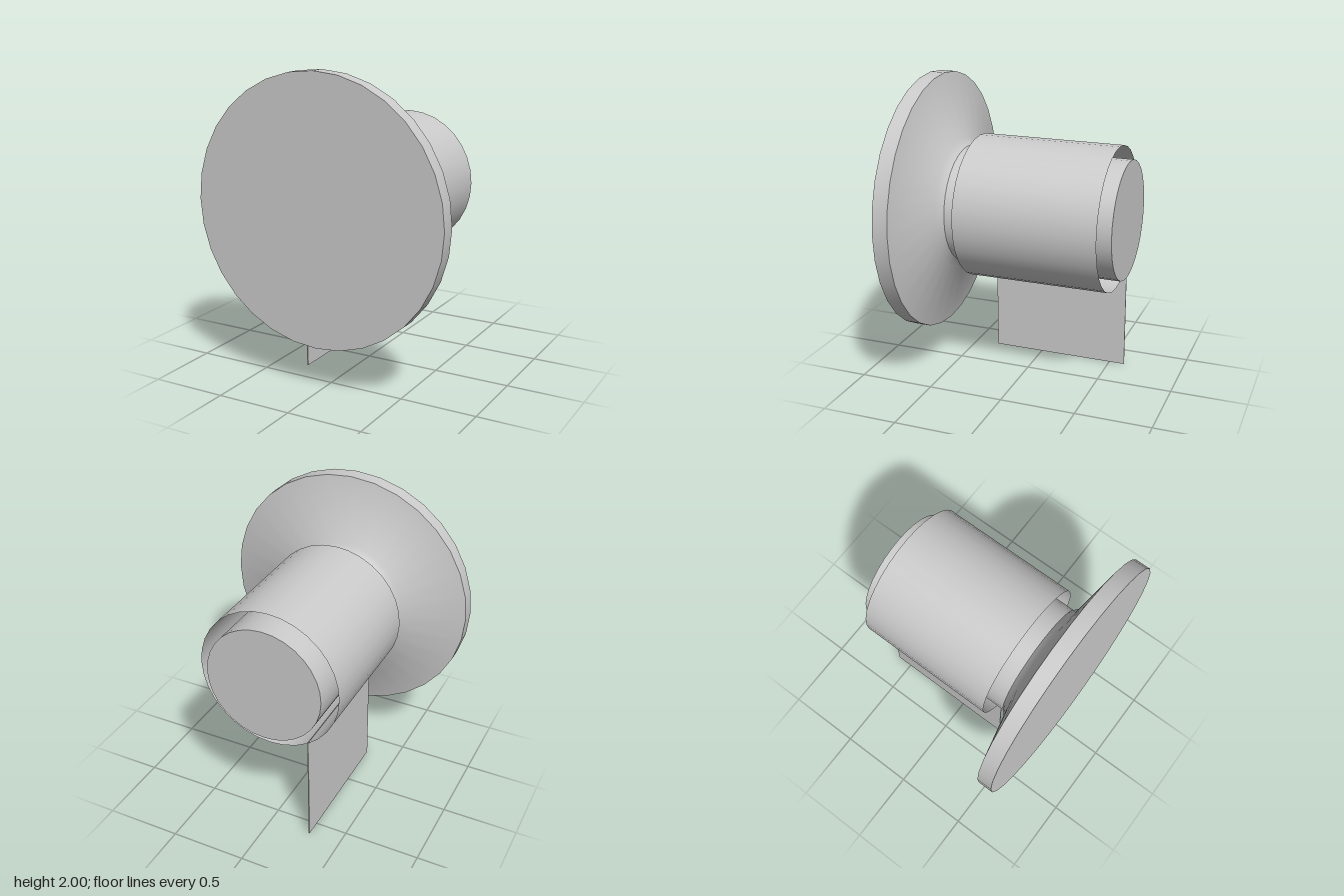
import * as THREE from 'three';
import { toCreasedNormals } from 'three/addons/utils/BufferGeometryUtils.js';

const SIDES = 32;
const AXIS_Y = 1.147;
const OFFSET = -0.01; // spindle and roll sit slightly off the flange centre

export function createModel() {
  const group = new THREE.Group();
  const solid = new THREE.MeshStandardMaterial({ color: 0xcccccc });
  const thin = new THREE.MeshStandardMaterial({ color: 0xcccccc, side: THREE.DoubleSide });

  const add = (name, geometry, material, x = 0, y = 0, z = 0) => {
    const mesh = new THREE.Mesh(geometry, material);
    mesh.name = name;
    mesh.position.set(x, y, z);
    group.add(mesh);
  };

  // Wall flange, flared neck and spindle turned as one profile (radius, z)
  const profile = [
    [0, -0.675], [0.387, -0.675], [0.387, 0.427], [0.436, 0.472],
    [0.853, 0.573], [0.853, 0.675], [0, 0.675],
  ].map(([r, z]) => new THREE.Vector2(r, z));
  const holder = new THREE.LatheGeometry(profile, SIDES).rotateX(Math.PI / 2);
  const pos = holder.attributes.position;
  for (let i = 0; i < pos.count; i++) {
    if (pos.getZ(i) < 0.5) pos.setXY(i, pos.getX(i) + OFFSET, pos.getY(i) + OFFSET);
  }
  add('flangeAndSpindle', toCreasedNormals(holder, 0.55), solid, 0, AXIS_Y, 0);

  // Open paper roll around the spindle
  const roll = new THREE.CylinderGeometry(0.471, 0.471, 0.94, SIDES, 1, true).rotateX(Math.PI / 2);
  add('paperRoll', roll, thin, OFFSET, AXIS_Y + OFFSET, -0.135);

  // Hanging sheet: a thin strip leaning slightly outward at the bottom
  const strip = new THREE.Shape([
    [-0.288, 0], [-0.28, 0], [-0.272, 0.75], [-0.277, 0.757],
  ].map(([x, y]) => new THREE.Vector2(x, y)));
  const sheet = new THREE.ExtrudeGeometry(strip, { depth: 0.94, bevelEnabled: false });
  add('hangingSheet', sheet, thin, 0, 0, -0.605);

  return group;
}
